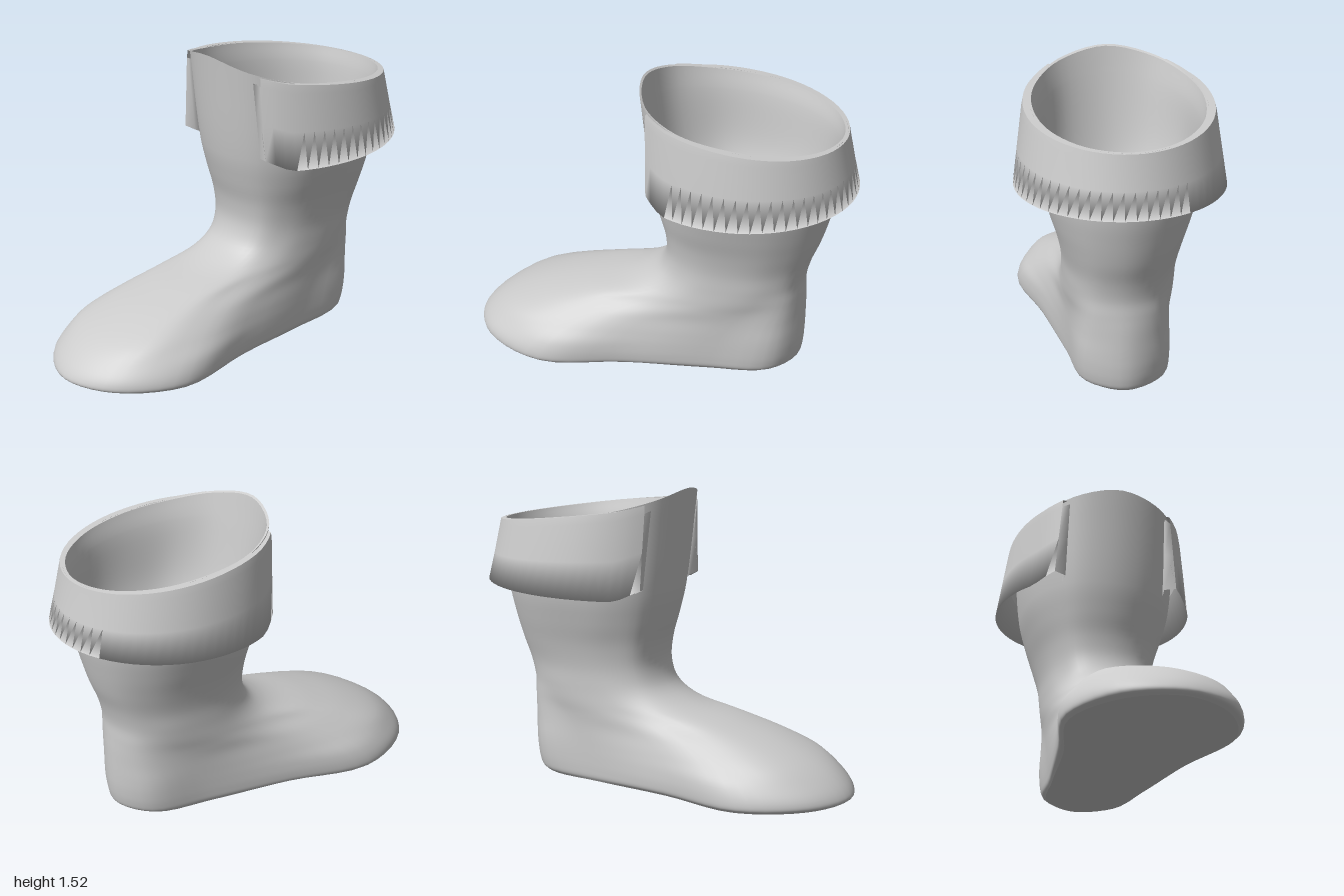
import * as THREE from 'three';

const material = new THREE.MeshStandardMaterial({ color: 0xcccccc, side: THREE.DoubleSide });
const { lerp } = THREE.MathUtils;

// Sloping top edge of the boot and the lower edge of the cuff
const rimY = (z) => z > 0 ? 1.455 + 0.65 * z : 1.43 + (z + 0.1) * (z > -0.1 ? 0.25 : 0.12);
const hemY = (z) => z > -0.1 ? 0.99 + 0.5 * (z + 0.1) : 0.985 - 0.045 * z;

// Horizontal slices: y, front z, back z, then half widths from toe to heel
const outerSlices = [
  [0.0, 0.975, -0.72, 0.25, 0.41, 0.31, 0.245, 0.18],
  [0.02, 1.0, -0.745, 0.27, 0.43, 0.335, 0.255, 0.195],
  [0.06, 0.985, -0.757, 0.28, 0.432, 0.34, 0.258, 0.202],
  [0.13, 0.92, -0.765, 0.275, 0.412, 0.33, 0.258, 0.205],
  [0.2, 0.815, -0.767, 0.275, 0.362, 0.31, 0.256, 0.202],
  [0.28, 0.63, -0.767, 0.235, 0.3, 0.285, 0.252, 0.19],
  [0.35, 0.4, -0.766, 0.2, 0.25, 0.277, 0.248, 0.178],
  [0.42, 0.14, -0.763, 0.17, 0.25, 0.275, 0.245, 0.165],
  [0.5, 0.01, -0.762, 0.175, 0.255, 0.275, 0.245, 0.157],
  [0.6, -0.035, -0.785, 0.185, 0.262, 0.28, 0.247, 0.157],
  [0.72, -0.03, -0.83, 0.2, 0.285, 0.305, 0.27, 0.167],
  [0.85, 0.005, -0.867, 0.215, 0.322, 0.345, 0.305, 0.185],
  [1.0, 0.04, -0.9, 0.23, 0.355, 0.385, 0.338, 0.2],
  [1.4, 0.1, -0.925, 0.244, 0.38, 0.425, 0.37, 0.215],
];
const innerSlices = [
  [1.4, 0.09, -0.912, 0.236, 0.372, 0.415, 0.36, 0.208],
  [1.3, 0.07, -0.895, 0.22, 0.35, 0.39, 0.338, 0.195],
  [1.0, 0.01, -0.865, 0.195, 0.325, 0.35, 0.305, 0.18],
  [0.75, -0.055, -0.8, 0.13, 0.23, 0.26, 0.24, 0.14],
  [0.5, -0.08, -0.74, 0.06, 0.12, 0.165, 0.19, 0.09],
  [0.06, -0.08, -0.74, 0.06, 0.12, 0.165, 0.19, 0.09],
];

// Closed smooth outline of one slice, running from the front round the left side
function ring([y, front, back, ...widths]) {
  const points = [];
  for (let i = 0; i < 12; i++) {
    const side = i <= 6 ? i : 12 - i;
    const z = (front + back) / 2 + (front - back) / 2 * Math.cos(i * Math.PI / 6);
    const x = (side % 6 ? widths[side - 1] : 0) * (i < 6 ? 1 : -1);
    points.push(new THREE.Vector3(x, y > 1 ? lerp(1, rimY(z), (y - 1) / 0.4) : y, z));
  }
  return new THREE.CatmullRomCurve3(points, true).getPoints(60).slice(0, 60);
}

// Smooth the slices along the height
function loft(slices, steps) {
  const rings = slices.map(ring);
  const columns = rings[0].map((_, j) => new THREE.CatmullRomCurve3(rings.map((r) => r[j])).getPoints(steps));
  return columns[0].map((_, i) => columns.map((c) => c[i]));
}

// Surface through rows of points
function skin(name, rows, closed) {
  const n = rows[0].length;
  const index = [];
  for (let i = 0; i < rows.length - 1; i++) {
    for (let j = 0; j < (closed ? n : n - 1); j++) {
      const k = (j + 1) % n;
      const a = i * n + j, b = i * n + k, c = a + n, d = b + n;
      index.push(a, b, d, a, d, c);
    }
  }
  const geometry = new THREE.BufferGeometry().setFromPoints(rows.flat());
  geometry.setIndex(index);
  geometry.computeVertexNormals();
  const mesh = new THREE.Mesh(geometry, material);
  mesh.name = name;
  return mesh;
}

const flatten = (row) => row.map((p) => new THREE.Vector3(0, p.y, p.z));

// Cuff profile, up the inside of the fold, then hem to rim: drop, half width, half depth, centre z
const cuffProfile = [
  [0.5, 0.445, 0.515, -0.42],
  [1, 0.515, 0.55, -0.45],
  [0.55, 0.491, 0.535, -0.433],
  [0.1, 0.466, 0.522, -0.417],
  [0, 0.458, 0.518, -0.415],
];
const CUFF_START = 0.62;

// Oval that is squarer towards the front
function cuffPoint([drop, halfX, halfZ, centre], t, scale = 1) {
  const z = centre + halfZ * scale * Math.cos(t);
  const s = Math.sin(t);
  const x = halfX * scale * Math.sign(s) * Math.abs(s) ** (Math.cos(t) > 0 ? 0.8 : 1);
  return new THREE.Vector3(x, lerp(rimY(z), hemY(z), drop), z);
}

const cuffRow = (profile) => Array.from({ length: 49 }, (_, j) =>
  cuffPoint(profile, lerp(CUFF_START, 2 * Math.PI - CUFF_START, j / 48)));

export function createModel() {
  const boot = new THREE.Group();
  boot.name = 'boot';

  // Foot and shaft, with the flat sole below
  const outer = loft(outerSlices, 65);
  boot.add(skin('footAndShaft', outer, true));
  boot.add(skin('sole', [flatten(outer[0]), outer[0]], true));

  // Rim, lining and insole
  const inner = loft(innerSlices, 40);
  const floor = inner[inner.length - 1];
  boot.add(skin('rim', [outer[outer.length - 1], inner[0]], true));
  boot.add(skin('lining', inner, true));
  boot.add(skin('insole', [floor, flatten(floor)], true));

  // Folded cuff, open at the front, joined to the shaft by a narrow top strip
  const cuff = cuffProfile.map(cuffRow);
  const shaftEdge = cuffRow([0, 0.425, 0.5125, -0.4125]);
  boot.add(skin('cuff', cuff, false));
  boot.add(skin('cuffTop', [cuff[cuff.length - 1], shaftEdge], false));

  // Tucked ends of the cuff, turning in towards the shaft
  for (const side of [1, -1]) {
    const rows = cuffProfile.slice(1, 4).map((p) => {
      const tuck = 1 - 0.08 * p[0];
      const row = [
        cuffPoint(p, CUFF_START),
        cuffPoint(p, CUFF_START - 0.09, 0.99 * tuck),
        cuffPoint(p, CUFF_START - 0.03, 0.93 * tuck),
      ];
      row.forEach((point) => { point.x *= side; });
      return side > 0 ? row.reverse() : row;
    });
    boot.add(skin(side > 0 ? 'leftCuffEnd' : 'rightCuffEnd', rows, false));
  }
  return boot;
}
